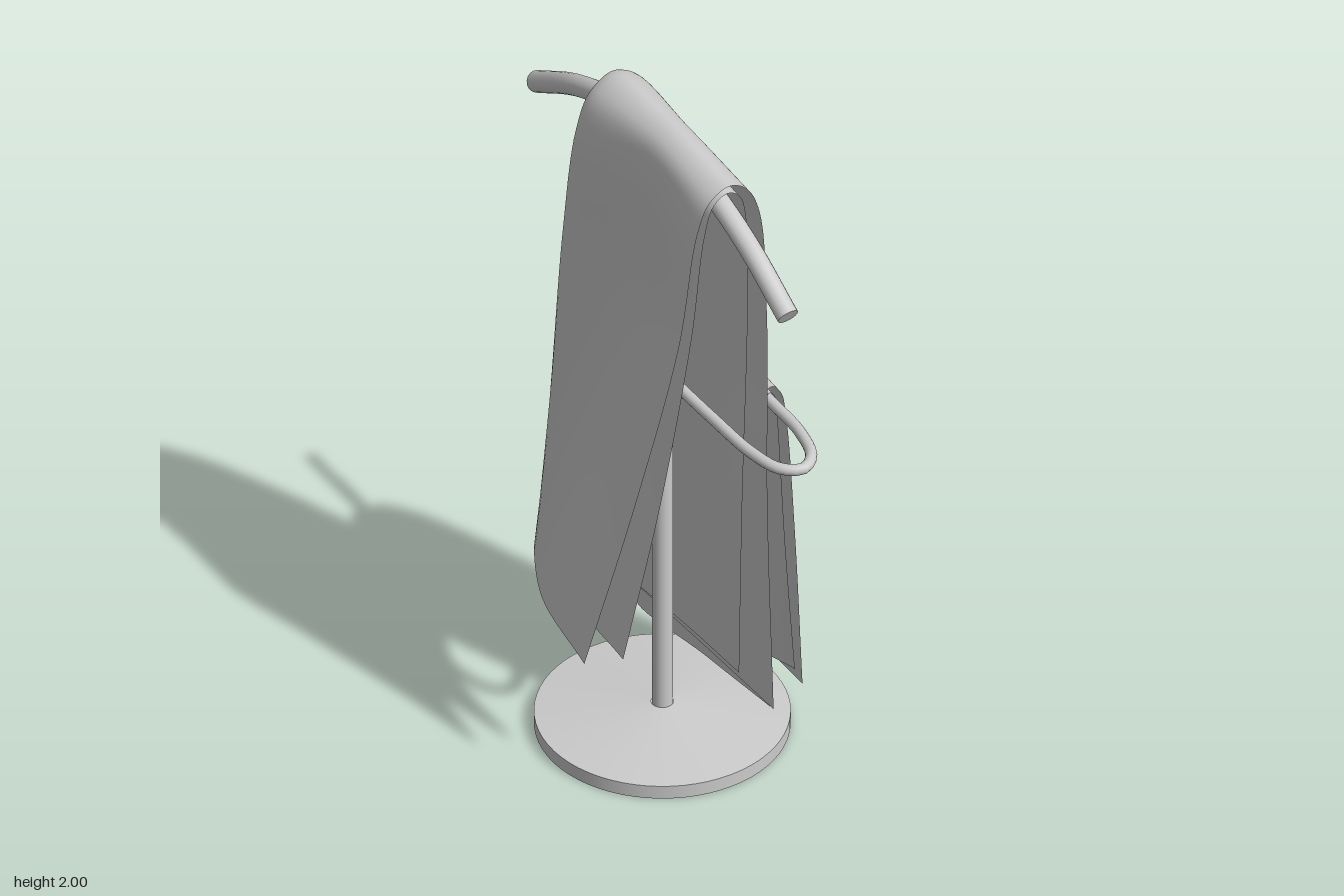
import * as THREE from 'three';

const metal = new THREE.MeshStandardMaterial({ color: 0xcccccc });
const cloth = new THREE.MeshStandardMaterial({ color: 0xcccccc, side: THREE.DoubleSide });

const curve = (...pts) => new THREE.CatmullRomCurve3(pts.map(p => new THREE.Vector3(...p)), false, 'centripetal');

function add(group, name, geometry, material = metal) {
  const mesh = new THREE.Mesh(geometry, material);
  mesh.name = name;
  group.add(mesh);
  return mesh;
}

// Tube with flat end caps
function rod(group, name, path, radius, segments) {
  const part = new THREE.Group();
  part.name = name;
  add(part, name + 'Tube', new THREE.TubeGeometry(path, segments, radius, 16));
  for (const t of [0, 1]) {
    const cap = add(part, name + 'Cap', new THREE.CircleGeometry(radius, 16));
    cap.position.copy(path.getPoint(t));
    const out = path.getTangent(t).multiplyScalar(t ? 1 : -1);
    cap.quaternion.setFromUnitVectors(new THREE.Vector3(0, 0, 1), out);
  }
  group.add(part);
}

// Lengthwise-folded cloth: guides run hem to hem, and the surface is lofted
// from the outer front edge, round the rear fold, to the inner front edge
function foldedTowel(group, name, ...guides) {
  const nu = 48, nv = 80, pos = [], index = [];
  for (let j = 0; j <= nv; j++) {
    const section = new THREE.CatmullRomCurve3(guides.map(g => g.getPoint(j / nv)), false, 'centripetal');
    for (let i = 0; i <= nu; i++) pos.push(...section.getPoint(i / nu).toArray());
  }
  for (let j = 0; j < nv; j++) {
    for (let i = 0; i < nu; i++) {
      const a = j * (nu + 1) + i, b = a + nu + 1;
      index.push(a, a + 1, b, b, a + 1, b + 1);
    }
  }
  const geo = new THREE.BufferGeometry();
  geo.setAttribute('position', new THREE.Float32BufferAttribute(pos, 3));
  geo.setIndex(index);
  geo.computeVertexNormals();
  add(group, name, geo, cloth);
}

export function createModel() {
  const stand = new THREE.Group();
  stand.name = 'towelStand';

  // Round foot with a shallow conical top
  add(stand, 'baseDisc', new THREE.CylinderGeometry(0.34, 0.34, 0.04, 64)).position.y = 0.02;
  add(stand, 'baseCone', new THREE.CylinderGeometry(0.03, 0.34, 0.03, 64, 1, true)).position.y = 0.055;

  // Upright pole
  add(stand, 'pole', new THREE.CylinderGeometry(0.028, 0.028, 1.88, 24)).position.y = 0.99;

  // Arched top bar
  const arch = [-0.62, -0.42, -0.21, 0, 0.21, 0.42, 0.62].map(z => [0, 1.93 - 0.54 * z * z, z]);
  rod(stand, 'topBar', curve(...arch), 0.03, 48);

  // Hooked lower rail
  rod(stand, 'lowerRail', curve(
    [0, 1.155, 0], [0, 1.155, 0.25], [0.005, 1.155, 0.43], [0.03, 1.155, 0.53], [0.08, 1.155, 0.565],
    [0.13, 1.155, 0.53], [0.163, 1.155, 0.42], [0.17, 1.155, 0.27], [0.178, 1.155, -0.1], [0.187, 1.155, -0.585]
  ), 0.016, 80);

  // Large towel over the top bar
  foldedTowel(stand, 'largeTowel',
    curve([-0.34, 0.42, 0.15], [-0.24, 0.95, 0.24], [-0.15, 1.5, 0.32], [-0.1, 1.85, 0.33], [-0.06, 1.94, 0.33],
      [0, 1.97, 0.33], [0.055, 1.94, 0.33], [0.095, 1.85, 0.33], [0.115, 1.5, 0.335], [0.11, 0.9, 0.345], [0.12, 0.22, 0.36]),
    curve([-0.275, 0.43, -0.17], [-0.18, 0.95, -0.08], [-0.105, 1.5, 0.03], [-0.085, 1.86, 0.04], [-0.055, 1.965, 0.04],
      [0, 1.995, 0.04], [0.055, 1.965, 0.04], [0.085, 1.86, 0.04], [0.1, 1.5, 0.03], [0.09, 0.9, 0.02], [0.095, 0.25, 0.02]),
    curve([-0.14, 0.45, -0.388], [-0.14, 0.95, -0.33], [-0.13, 1.5, -0.285], [-0.11, 1.84, -0.252], [-0.07, 1.95, -0.247],
      [0, 1.99, -0.247], [0.07, 1.95, -0.247], [0.11, 1.84, -0.252], [0.125, 1.5, -0.275], [0.1, 0.9, -0.305], [0.05, 0.3, -0.325]),
    curve([-0.115, 0.46, -0.365], [-0.105, 0.95, -0.315], [-0.095, 1.5, -0.27], [-0.08, 1.82, -0.24], [-0.05, 1.925, -0.235],
      [0, 1.957, -0.235], [0.05, 1.925, -0.235], [0.08, 1.82, -0.24], [0.09, 1.5, -0.26], [0.065, 0.9, -0.29], [0.025, 0.33, -0.31]),
    curve([-0.22, 0.44, -0.1], [-0.14, 0.95, -0.04], [-0.075, 1.5, 0.03], [-0.06, 1.84, 0.04], [-0.04, 1.94, 0.04],
      [0, 1.972, 0.04], [0.04, 1.94, 0.04], [0.06, 1.84, 0.04], [0.06, 1.5, 0.03], [0.052, 0.9, 0.02], [0.045, 0.33, 0.02]),
    curve([-0.25, 0.43, 0.2], [-0.17, 0.95, 0.26], [-0.105, 1.5, 0.31], [-0.07, 1.83, 0.32], [-0.042, 1.915, 0.32],
      [0, 1.94, 0.32], [0.04, 1.915, 0.32], [0.06, 1.83, 0.32], [0.07, 1.5, 0.31], [0.06, 0.9, 0.3], [0.05, 0.33, 0.3]));

  // Small towel over the lower rail
  foldedTowel(stand, 'smallTowel',
    curve([0.14, 0.19, 0.31], [0.125, 0.7, 0.29], [0.12, 1.08, 0.27], [0.135, 1.17, 0.27], [0.17, 1.205, 0.27],
      [0.2, 1.175, 0.27], [0.22, 1.08, 0.265], [0.27, 0.65, 0.23], [0.325, 0.11, 0.18]),
    curve([0.125, 0.18, 0.02], [0.125, 0.7, 0], [0.125, 1.08, 0], [0.14, 1.175, 0], [0.175, 1.21, 0],
      [0.215, 1.18, 0], [0.24, 1.08, 0], [0.28, 0.65, -0.03], [0.312, 0.13, -0.08]),
    curve([0.105, 0.18, -0.295], [0.115, 0.7, -0.295], [0.115, 1.08, -0.285], [0.135, 1.17, -0.285], [0.18, 1.208, -0.285],
      [0.24, 1.18, -0.285], [0.27, 1.08, -0.285], [0.265, 0.65, -0.303], [0.235, 0.155, -0.322]),
    curve([0.13, 0.2, -0.29], [0.138, 0.7, -0.29], [0.14, 1.07, -0.28], [0.15, 1.15, -0.28], [0.182, 1.185, -0.28],
      [0.225, 1.155, -0.28], [0.245, 1.07, -0.278], [0.235, 0.65, -0.293], [0.208, 0.165, -0.312]),
    curve([0.14, 0.2, 0.02], [0.145, 0.7, 0], [0.143, 1.07, 0], [0.153, 1.155, 0], [0.175, 1.183, 0],
      [0.198, 1.155, 0], [0.208, 1.07, 0], [0.235, 0.65, -0.02], [0.26, 0.15, -0.05]),
    curve([0.15, 0.2, 0.25], [0.145, 0.7, 0.255], [0.14, 1.07, 0.26], [0.15, 1.155, 0.26], [0.172, 1.18, 0.262],
      [0.19, 1.155, 0.26], [0.2, 1.07, 0.255], [0.235, 0.65, 0.235], [0.285, 0.19, 0.205]));

  return stand;
}
